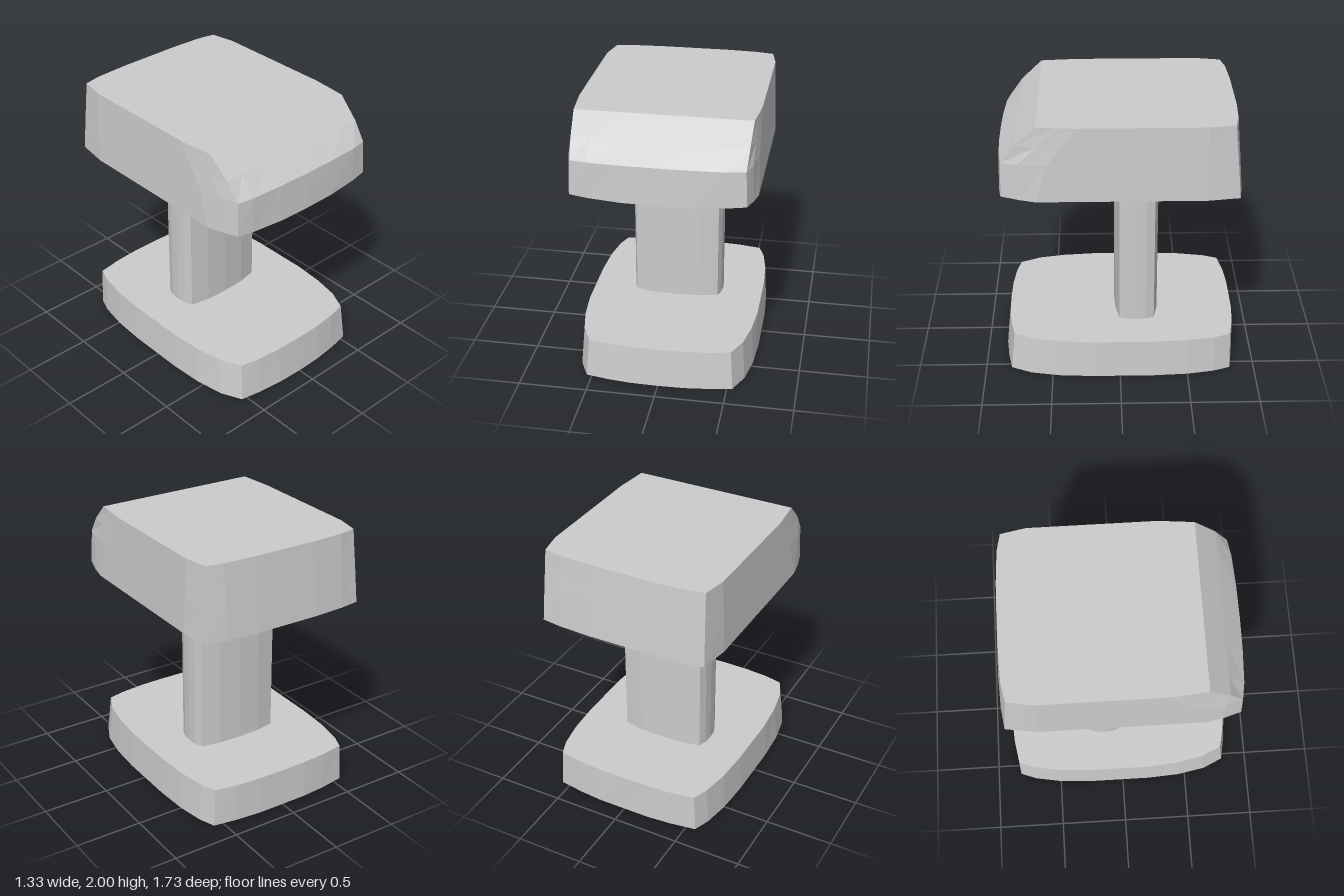
import * as THREE from 'three';

const material = new THREE.MeshStandardMaterial({ color: 0xcccccc, flatShading: true });

// Closed loop from a half outline [x, z, lift] running front centre -> side -> back centre.
function mirrorLoop(half, y) {
  const right = half.map(([x, z, lift = 0]) => [x, y + lift, z]);
  const left = right.slice(1, -1).reverse().map(([x, h, z]) => [-x, h, z]);
  return [...right, ...left];
}

// Solid skinned over stacked loops of equal length, capped at both ends.
function loft(name, sections) {
  const loops = sections.map(([y, half]) => mirrorLoop(half, y));
  const n = loops[0].length;
  const pos = [];
  const tri = (a, b, c) => pos.push(...a, ...b, ...c);
  const last = loops.length - 1;
  const bottom = [0, sections[0][0], 0];
  const top = [0, sections[last][0], 0];
  bottom[2] = top[2] = (loops[0][0][2] + loops[0][n / 2][2]) / 2;
  for (let i = 0; i < n; i++) {
    const j = (i + 1) % n;
    for (let k = 0; k < last; k++) {
      const lo = loops[k], hi = loops[k + 1];
      tri(lo[i], lo[j], hi[j]);
      tri(lo[i], hi[j], hi[i]);
    }
    tri(bottom, loops[0][j], loops[0][i]);
    tri(top, loops[last][i], loops[last][j]);
  }
  const geometry = new THREE.BufferGeometry();
  geometry.setAttribute('position', new THREE.Float32BufferAttribute(pos, 3));
  geometry.computeVertexNormals();
  const mesh = new THREE.Mesh(geometry, material);
  mesh.name = name;
  return mesh;
}

export function createModel() {
  const group = new THREE.Group();
  group.name = 'pedestal';

  // Foot plate: bowed sides meeting at four corners, tapering slightly upward
  group.add(loft('base', [
    [0, [[0, 0.865], [0.2, 0.86], [0.38, 0.84], [0.54, 0.81], [0.61, 0.66], [0.65, 0.45], [0.665, 0.2],
      [0.665, -0.25], [0.65, -0.5], [0.615, -0.7], [0.57, -0.82], [0.38, -0.85], [0.2, -0.865], [0, -0.865]]],
    [0.29, [[0, 0.832], [0.2, 0.828], [0.38, 0.81], [0.52, 0.78], [0.59, 0.63], [0.63, 0.43], [0.65, 0.2],
      [0.65, -0.25], [0.635, -0.5], [0.6, -0.7], [0.555, -0.815], [0.38, -0.845], [0.2, -0.858], [0, -0.86]]],
  ]));

  // Column: bowed rectangular section, set toward the back
  const column = [[0, 0.035], [0.17, 0.028], [0.315, 0], [0.337, -0.06], [0.343, -0.13],
    [0.337, -0.2], [0.315, -0.26], [0.17, -0.288], [0, -0.295]];
  group.add(loft('column', [[0.29, column], [1.46, column]]));

  // Head: tapered block with a sloping chamfer across the upper front
  group.add(loft('head', [
    [1.46, [[0, 0.865], [0.24, 0.86], [0.48, 0.843, 0.01], [0.61, 0.825, 0.02], [0.645, 0.7, 0.01], [0.665, 0.58],
      [0.665, -0.6], [0.63, -0.83], [0.48, -0.852], [0.24, -0.865], [0, -0.865]]],
    [1.73, [[0, 0.85], [0.24, 0.847], [0.48, 0.835], [0.6, 0.815], [0.633, 0.7], [0.655, 0.5],
      [0.655, -0.6], [0.62, -0.806], [0.48, -0.83], [0.24, -0.842], [0, -0.842]]],
    [1.86, [[0, 0.72], [0.24, 0.72], [0.48, 0.72], [0.61, 0.72], [0.633, 0.57], [0.65, 0.4],
      [0.65, -0.6], [0.615, -0.793], [0.48, -0.818], [0.24, -0.83], [0, -0.83]]],
    [2, [[0, 0.57], [0.24, 0.57], [0.48, 0.57], [0.62, 0.57], [0.634, 0.43], [0.645, 0.3],
      [0.645, -0.6], [0.61, -0.78], [0.48, -0.806], [0.24, -0.818], [0, -0.818]]],
  ]));

  return group;
}
